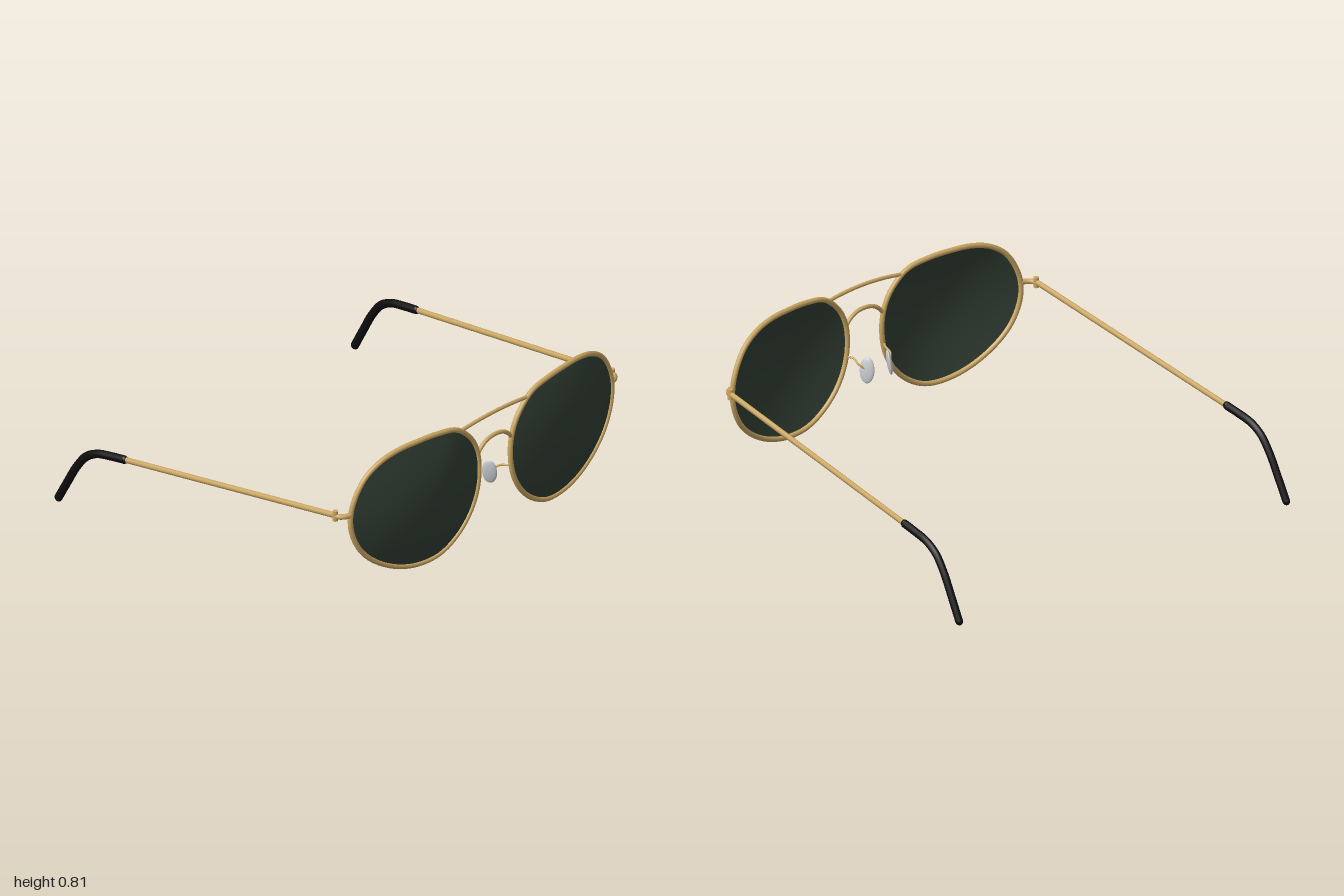
import * as THREE from 'three';

const mat = (name, color, side = THREE.FrontSide) => {
  const m = new THREE.MeshStandardMaterial({ color, side });
  m.name = name;
  return m;
};
const V = (x, y, z) => new THREE.Vector3(x, y, z);

// the front of the frame wraps gently backwards towards the sides
const wrapZ = (x) => 0.9 - 0.115 * x * x;
// the temples splay outwards towards the ears
const templeX = (z) => 0.92 + (0.064 * (0.75 - z)) / 1.67;

// rim centreline of one lens, from the inner top corner clockwise
const RIM = [
  [0.165, 0.7], [0.25, 0.77], [0.37, 0.793], [0.49, 0.797], [0.6, 0.792], [0.7, 0.766],
  [0.785, 0.71], [0.843, 0.62], [0.867, 0.53], [0.858, 0.44], [0.815, 0.345], [0.74, 0.265],
  [0.62, 0.193], [0.49, 0.157], [0.36, 0.161], [0.255, 0.212], [0.168, 0.3], [0.117, 0.41],
  [0.104, 0.53], [0.122, 0.625],
];

export function createModel() {
  const gold = mat('gold metal', 0xc9a561);
  const tint = mat('dark green lens', 0x303d33, THREE.DoubleSide);
  const black = mat('black plastic', 0x0d0d0d);
  const clear = mat('pale silicone', 0xc6cacc);

  const model = new THREE.Group();
  model.name = 'sunglasses';

  const add = (parent, name, geometry, material) => {
    const mesh = new THREE.Mesh(geometry, material);
    mesh.name = name;
    parent.add(mesh);
    return mesh;
  };
  const tube = (points, radius, segments = 32, closed = false) =>
    new THREE.TubeGeometry(new THREE.CatmullRomCurve3(points, closed), segments, radius, 12, closed);

  // domed lens made of rings shrinking towards its centre
  const lensGeometry = (outline, s) => {
    const rings = 12, n = outline.length, cx = 0.48 * s, cy = 0.48;
    const pos = [], index = [];
    for (let r = 0; r <= rings; r++) {
      const k = r / rings;
      for (const p of outline) {
        const x = cx + (p.x - cx) * k, y = cy + (p.y - cy) * k;
        pos.push(x, y, wrapZ(x) + 0.056 * (1 - k * k));
      }
    }
    for (let r = 0; r < rings; r++) {
      for (let i = 0; i < n; i++) {
        const j = (i + 1) % n;
        const a = r * n + i, b = r * n + j, c = a + n, d = b + n;
        if (s > 0) index.push(a, b, c, b, d, c);
        else index.push(a, c, b, b, c, d);
      }
    }
    const g = new THREE.BufferGeometry();
    g.setAttribute('position', new THREE.Float32BufferAttribute(pos, 3));
    g.setIndex(index);
    g.computeVertexNormals();
    return g;
  };

  // flatten a temple part sideways around its own centreline
  const flatten = (g, s, f) => {
    const p = g.attributes.position;
    for (let i = 0; i < p.count; i++) {
      const c = s * templeX(p.getZ(i));
      p.setX(i, c + (p.getX(i) - c) * f);
    }
    return g;
  };

  for (const s of [1, -1]) {
    const side = new THREE.Group();
    side.name = s > 0 ? 'leftSide' : 'rightSide';
    model.add(side);

    // rim and lens
    const rimPoints = RIM.map(([x, y]) => V(x * s, y, wrapZ(x)));
    const rimCurve = new THREE.CatmullRomCurve3(rimPoints, true);
    add(side, 'rim', tube(rimPoints, 0.0125, 96, true), gold);
    add(side, 'lens', lensGeometry(rimCurve.getPoints(80).slice(0, 80), s), tint);

    // end piece curving back to the hinge
    add(side, 'endPiece', tube([
      V(0.862 * s, 0.543, 0.815), V(0.893 * s, 0.543, 0.805),
      V(0.914 * s, 0.543, 0.785), V(0.919 * s, 0.543, 0.76),
    ], 0.013, 16), gold);
    const hinge = add(side, 'hinge', new THREE.CylinderGeometry(0.013, 0.013, 0.05, 16), gold);
    hinge.position.set(0.919 * s, 0.544, 0.767);

    // temple bar, with rounded ends
    const at = (y, z) => V(templeX(z) * s, y, z);
    const bar = [at(0.544, 0.755), at(0.455, 0.12), at(0.364, -0.53)];
    add(side, 'temple', flatten(tube(bar, 0.0145, 24), s, 0.75), gold);
    const barEnd = add(side, 'templeEnd', new THREE.SphereGeometry(0.0145, 12, 8), gold);
    barEnd.position.copy(bar[0]);
    barEnd.scale.x = 0.75;

    // ear tip bending down behind the ear
    const tip = [
      at(0.366, -0.515), at(0.353, -0.6), at(0.337, -0.675), at(0.299, -0.743),
      at(0.225, -0.802), at(0.125, -0.858), at(0.023, -0.913),
    ];
    add(side, 'earTip', flatten(tube(tip, 0.0205, 40), s, 0.82), black);
    for (const p of [tip[0], tip[tip.length - 1]]) {
      const cap = add(side, 'earTipEnd', new THREE.SphereGeometry(0.0205, 14, 10), black);
      cap.position.copy(p);
      cap.scale.x = 0.82;
    }

    // nose pad on its wire arm
    add(side, 'padArm', tube([
      V(0.11 * s, 0.44, 0.893), V(0.096 * s, 0.437, 0.865),
      V(0.096 * s, 0.42, 0.83), V(0.073 * s, 0.395, 0.805),
    ], 0.005, 20), gold);
    const pad = add(side, 'nosePad', new THREE.SphereGeometry(1, 24, 16), clear);
    pad.scale.set(0.012, 0.063, 0.036);
    pad.position.set(0.067 * s, 0.39, 0.803);
    pad.rotation.set(0, 0.52 * s, 0.14 * s);
  }

  // brow bar and arched bridge joining the two rims
  const bow = (list) => {
    const half = list.map(([x, y]) => V(x, y, wrapZ(x)));
    return [...half.slice(1).reverse().map((p) => V(-p.x, p.y, p.z)), ...half];
  };
  add(model, 'browBar', tube(bow([[0, 0.77], [0.11, 0.766], [0.215, 0.755]]), 0.009, 32), gold);
  add(model, 'bridge', tube(bow([[0, 0.651], [0.045, 0.645], [0.082, 0.625], [0.112, 0.592]]), 0.01, 40), gold);

  return model;
}
